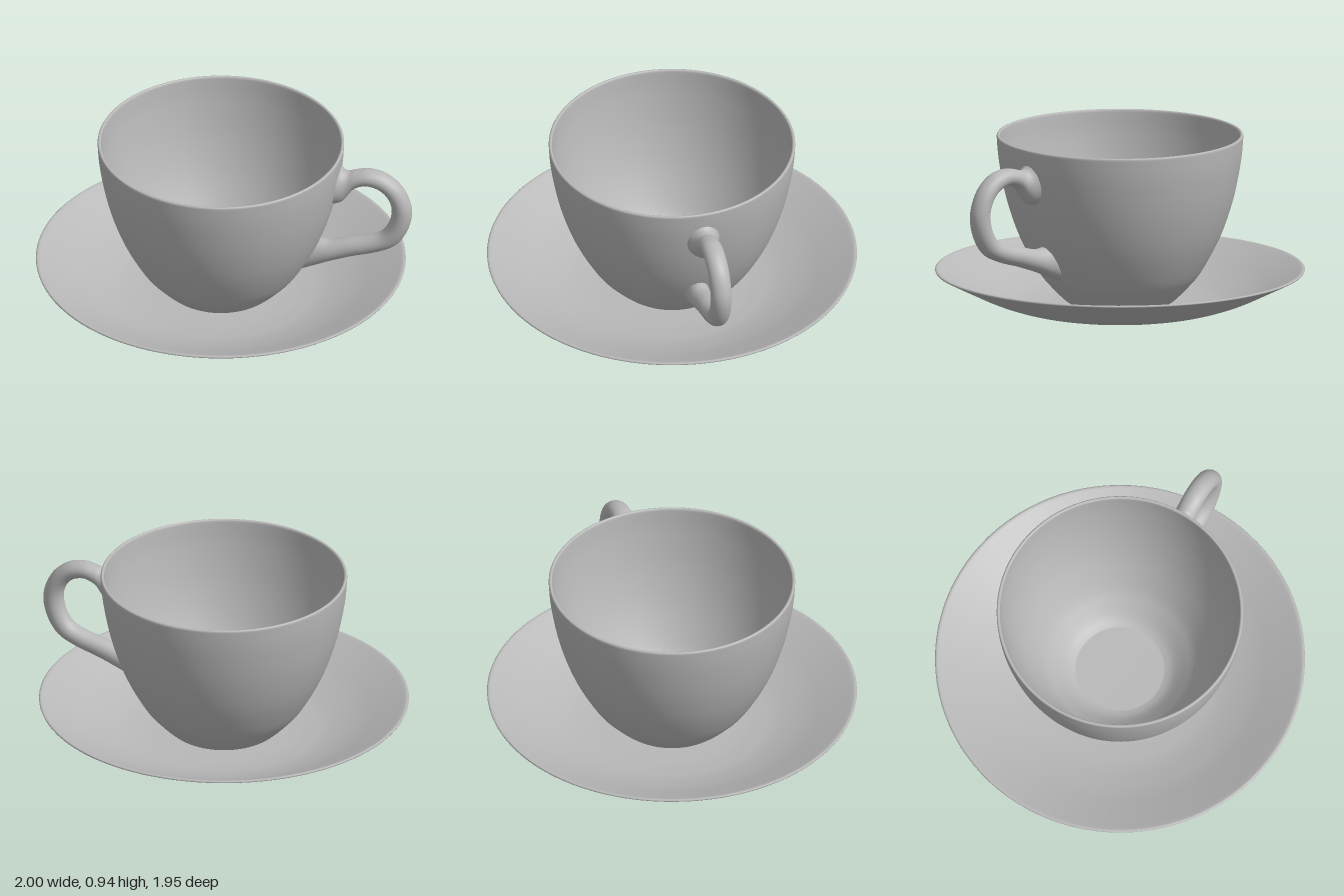
import * as THREE from 'three';

const CENTRE_X = -0.025; // axis shared by cup and saucer
const vec2 = ([x, y]) => new THREE.Vector2(x, y);
const smooth = (points, n) => new THREE.SplineCurve(points.map(vec2)).getPoints(n);

// Turned solid: up the outside, over the lip, down the inside
function turned(name, outside, lip, inside, material) {
  const profile = [
    new THREE.Vector2(0, outside[0][1]),
    ...smooth(outside, 28),
    ...lip.map(vec2),
    ...smooth(inside, 28),
    new THREE.Vector2(0, inside[inside.length - 1][1]),
  ];
  const mesh = new THREE.Mesh(new THREE.LatheGeometry(profile, 96), material);
  mesh.name = name;
  mesh.position.x = CENTRE_X;
  return mesh;
}

// Handle: elliptical sections spanning inner edge (ix, iy) to outer edge (ox, oy)
function handleGeometry(sections, steps, sides) {
  const inner = new THREE.SplineCurve(sections.map(s => new THREE.Vector2(s[0], s[1])));
  const outer = new THREE.SplineCurve(sections.map(s => new THREE.Vector2(s[2], s[3])));
  const width = new THREE.SplineCurve(sections.map((s, i) => new THREE.Vector2(i, s[4])));
  const positions = [], indices = [];
  for (let i = 0; i <= steps; i++) {
    const a = inner.getPoint(i / steps), b = outer.getPoint(i / steps);
    const w = width.getPoint(i / steps).y;
    for (let j = 0; j < sides; j++) {
      const t = (j / sides) * Math.PI * 2;
      const k = (1 + Math.cos(t)) / 2;
      positions.push(a.x + (b.x - a.x) * k, a.y + (b.y - a.y) * k, Math.sin(t) * w);
      if (i === steps) continue;
      const p = i * sides + j, q = i * sides + (j + 1) % sides;
      indices.push(p, q, p + sides, q, q + sides, p + sides);
    }
  }
  const geometry = new THREE.BufferGeometry();
  geometry.setAttribute('position', new THREE.Float32BufferAttribute(positions, 3));
  geometry.setIndex(indices);
  geometry.computeVertexNormals();
  return geometry;
}

export function createModel() {
  const group = new THREE.Group();
  group.name = 'cupAndSaucer';
  const porcelain = new THREE.MeshStandardMaterial({ color: 0xb8b8b8 });
  porcelain.name = 'greyPorcelain';

  // Saucer: shallow dish with a thin rim
  group.add(turned('saucer',
    [[0.08, 0], [0.36, 0.008], [0.48, 0.018], [0.58, 0.038], [0.715, 0.085], [0.85, 0.15], [0.965, 0.208]],
    [[0.973, 0.212], [0.975, 0.217], [0.971, 0.221], [0.964, 0.222]],
    [[0.955, 0.219], [0.84, 0.163], [0.71, 0.103], [0.57, 0.056], [0.47, 0.038], [0.35, 0.028], [0.08, 0.024]],
    porcelain));

  // Cup: thin-walled bowl with a flat floor
  group.add(turned('cup',
    [[0.24, 0.03], [0.29, 0.058], [0.365, 0.132], [0.435, 0.22], [0.53, 0.4], [0.598, 0.6], [0.638, 0.8], [0.65, 0.93]],
    [[0.65, 0.938], [0.647, 0.943], [0.642, 0.945], [0.636, 0.943], [0.633, 0.938]],
    [[0.632, 0.93], [0.618, 0.8], [0.577, 0.6], [0.508, 0.4], [0.412, 0.22], [0.345, 0.14], [0.28, 0.08], [0.23, 0.058]],
    porcelain));

  // Handle: flared where it meets the cup, both ends seated in the wall
  const sections = [
    [0.582, 0.645, 0.61, 0.87, 0.09],
    [0.625, 0.66, 0.635, 0.848, 0.072],
    [0.655, 0.695, 0.665, 0.843, 0.06],
    [0.695, 0.748, 0.7, 0.854, 0.056],
    [0.76, 0.774, 0.775, 0.866, 0.056],
    [0.83, 0.755, 0.87, 0.842, 0.056],
    [0.875, 0.705, 0.955, 0.765, 0.056],
    [0.893, 0.64, 1.0, 0.645, 0.056],
    [0.88, 0.56, 0.982, 0.525, 0.056],
    [0.835, 0.49, 0.92, 0.425, 0.056],
    [0.76, 0.455, 0.82, 0.37, 0.056],
    [0.65, 0.427, 0.68, 0.325, 0.056],
    [0.57, 0.405, 0.56, 0.28, 0.06],
    [0.53, 0.405, 0.48, 0.245, 0.062],
    [0.495, 0.41, 0.398, 0.21, 0.066],
  ];
  const handle = new THREE.Mesh(handleGeometry(sections, 90, 28), porcelain);
  handle.name = 'handle';
  group.add(handle);

  return group;
}
